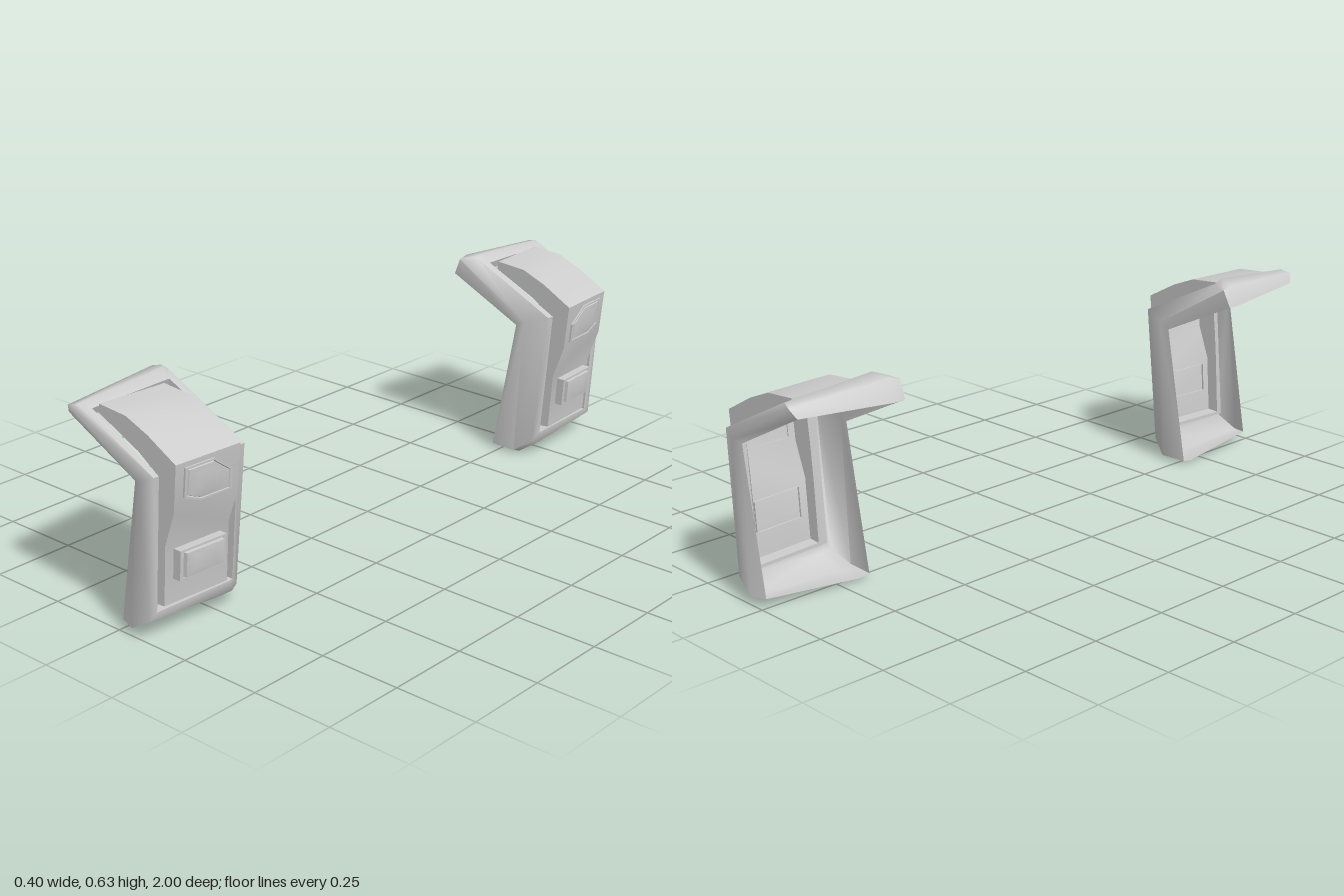
import * as THREE from 'three';
import { toCreasedNormals } from 'three/addons/utils/BufferGeometryUtils.js';

const material = new THREE.MeshStandardMaterial({ color: 0xcccccc, side: THREE.DoubleSide });

// Skin over a list of equal-length rings; optionally closed with a fan at the end
function loft(name, rings, { closed = true, cap = false, crease = 0.5 } = {}) {
  const n = rings[0].length, index = [];
  const points = rings.flat();
  for (let i = 0; i < rings.length - 1; i++) {
    for (let j = 0; j < (closed ? n : n - 1); j++) {
      const k = (j + 1) % n, a = i * n + j, b = i * n + k;
      index.push(a, b, b + n, a, b + n, a + n);
    }
  }
  if (cap) {
    const last = rings[rings.length - 1], base = (rings.length - 1) * n;
    points.push([0, 1, 2].map(c => last.reduce((s, p) => s + p[c], 0) / n));
    for (let j = 0; j < n; j++) index.push(base + j, base + (j + 1) % n, points.length - 1);
  }
  const geometry = new THREE.BufferGeometry();
  geometry.setAttribute('position', new THREE.Float32BufferAttribute(points.flat(), 3));
  geometry.setIndex(index);
  const mesh = new THREE.Mesh(toCreasedNormals(geometry, crease), material);
  mesh.name = name;
  return mesh;
}

// Panel side profile (x, y) from top to bottom, and its sunken base line
const crest = [[-0.08, 0.605], [0.02, 0.597], [0.10, 0.565], [0.2, 0.51], [0.185, 0.37], [0.148, 0.27], [0.135, 0.092]];
const sunk = [[-0.085, 0.58], [-0.01, 0.545], [0.06, 0.512], [0.13, 0.465], [0.118, 0.36], [0.11, 0.27], [0.098, 0.09]];
const Z_IN = 0.73, Z_OUT = 0.945;

// The panel leans back slightly toward its outer side
const lean = z => -0.015 * (z - Z_IN) / (Z_OUT - Z_IN);
const line = (profile, z) => profile.map(([x, y]) => [x + lean(z), y, z]);
const around = profile => [...line(profile, Z_OUT), ...line(profile, Z_IN).reverse()];

// Panel front x at a given height and depth
function frontX(y, z) {
  let i = 3;
  while (i < crest.length - 2 && y < crest[i + 1][1]) i++;
  const [a, b] = [crest[i], crest[i + 1]];
  return a[0] + (b[0] - a[0]) * (y - a[1]) / (b[1] - a[1]) + lean(z);
}

// Raised pad on the panel: outline in (z, y), steps of [scale, height]
function pad(name, outline, steps) {
  const cz = outline.reduce((s, p) => s + p[0], 0) / outline.length;
  const cy = outline.reduce((s, p) => s + p[1], 0) / outline.length;
  const rings = steps.map(([scale, height]) => outline.map(([z, y]) => {
    const pz = cz + (z - cz) * scale, py = cy + (y - cy) * scale;
    return [frontX(py, pz) + height, py, pz];
  }));
  return loft(name, rings, { cap: true });
}

function buildGuard() {
  const guard = new THREE.Group();

  // Bent frame: rings from the open back edge to the sunken floor around the panel.
  // Each ring runs outer top, knee, bottom, then inner bottom, knee, top.
  guard.add(loft('frame', [
    [[-0.17, 0.575, 0.985], [0.075, 0.45, 0.985], [0, 0.03, 0.985], [-0.028, 0.01, 0.69],
      [-0.028, 0.015, 0.655], [0.052, 0.44, 0.655], [-0.198, 0.56, 0.655], [-0.2, 0.56, 0.69]],
    [[-0.155, 0.603, 1], [0.10, 0.46, 1], [0.05, 0.026, 1], [0.06, 0.003, 0.685],
      [0.06, 0.015, 0.65], [0.085, 0.458, 0.65], [-0.175, 0.612, 0.65], [-0.175, 0.62, 0.685]],
    [[-0.125, 0.611, 0.99], [0.145, 0.477, 0.985], [0.112, 0.062, 0.99], [0.122, 0.045, 0.70],
      [0.115, 0.055, 0.675], [0.16, 0.482, 0.675], [-0.122, 0.62, 0.675], [-0.12, 0.63, 0.70]],
    [[-0.10, 0.597, 0.965], [0.143, 0.475, 0.965], [0.113, 0.08, 0.965], [0.125, 0.08, 0.71],
      [0.125, 0.082, 0.70], [0.16, 0.48, 0.70], [-0.092, 0.606, 0.70], [-0.092, 0.606, 0.71]],
    [[-0.11, 0.574, 0.965], [0.115, 0.46, 0.965], [0.083, 0.08, 0.965], [0.098, 0.08, 0.71],
      [0.098, 0.082, 0.70], [0.13, 0.465, 0.70], [-0.10, 0.582, 0.70], [-0.10, 0.582, 0.71]],
    [[-0.1, 0.58, Z_OUT], [0.115, 0.465, Z_OUT], [0.083, 0.09, Z_OUT], [0.098, 0.09, 0.735],
      [0.098, 0.092, Z_IN], [0.13, 0.465, Z_IN], [-0.085, 0.58, Z_IN], [-0.085, 0.58, 0.735]],
  ], { crease: 1.1 }));

  // Raised panel: side walls and the front skin
  guard.add(loft('panelSides', [around(sunk), around(crest)]));
  guard.add(loft('panelFront', [line(crest, Z_OUT), line(crest, Z_IN)], { closed: false, crease: 0.35 }));

  // Six-sided upper pad with a grooved, domed centre
  guard.add(pad('upperPad',
    [[0.917, 0.495], [0.917, 0.41], [0.863, 0.387], [0.756, 0.387], [0.756, 0.447], [0.82, 0.495]],
    [[1, -0.004], [1, 0.006], [0.9, 0.006], [0.87, 0.001], [0.84, 0.006], [0.5, 0.009]]));

  // Rectangular lower pad with a stepped centre
  guard.add(pad('lowerPad',
    [[0.917, 0.253], [0.917, 0.165], [0.76, 0.165], [0.76, 0.253]],
    [[1, -0.006], [1, 0.026], [0.86, 0.026], [0.84, 0.018], [0.8, 0.034], [0.45, 0.037]]));
  return guard;
}

export function createModel() {
  const model = new THREE.Group();
  const front = buildGuard();
  front.name = 'frontGuard';
  const back = buildGuard();
  back.name = 'backGuard';
  back.scale.z = -1;
  model.add(front, back);
  return model;
}
